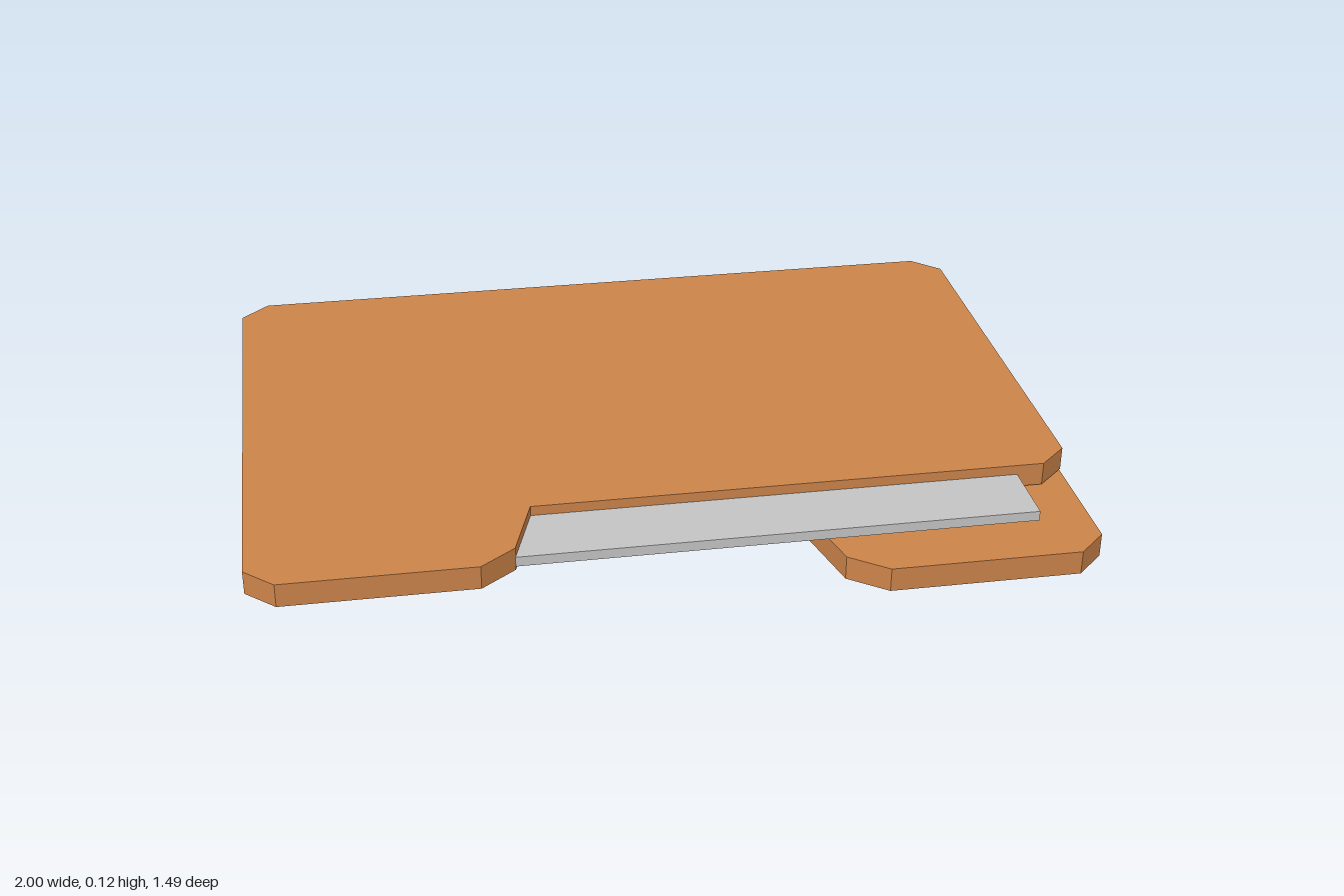
import * as THREE from 'three';

const orange = new THREE.MeshStandardMaterial({ color: 0xcb8349, flatShading: true });
orange.name = 'folder orange';
const grey = new THREE.MeshStandardMaterial({ color: 0xc3c3c3, flatShading: true });
grey.name = 'paper grey';

// Flat plate from an outline of [x, z] points, between heights y0 and y1
function plate(name, points, y0, y1, material) {
  const shape = new THREE.Shape(points.map(([x, z]) => new THREE.Vector2(x, -z)));
  const geometry = new THREE.ExtrudeGeometry(shape, { depth: y1 - y0, bevelEnabled: false });
  geometry.rotateX(-Math.PI / 2);
  geometry.translate(0, y0, 0);
  const mesh = new THREE.Mesh(geometry, material);
  mesh.name = name;
  return mesh;
}

// Chamfered back edge shared by both covers
const back = [[-1, -0.68], [-0.93, -0.747], [0.93, -0.747], [1, -0.68]];

export function createModel() {
  const group = new THREE.Group();
  group.name = 'folder';

  // Lower cover with its tab on the left (+x)
  group.add(plate('lowerCover', [
    ...back,
    [1, 0.68], [0.93, 0.747], [0.47, 0.747], [0.38, 0.68], [0.32, 0.445],
    [-0.93, 0.445], [-1, 0.38],
  ], 0, 0.06, orange));

  // Upper cover with its tab on the right (-x)
  group.add(plate('upperCover', [
    ...back,
    [1, 0.38], [0.93, 0.445], [-0.33, 0.445], [-0.385, 0.62], [-0.47, 0.685],
    [-0.93, 0.685], [-1, 0.62],
  ], 0.066, 0.125, orange));

  // Thin core joining the covers
  group.add(plate('innerCore', [
    [-0.95, -0.55], [0.86, -0.55], [0.86, 0.24], [-0.95, 0.24],
  ], 0.059, 0.067, orange));

  // Paper sheet sticking out of the front
  group.add(plate('paper', [
    [-0.6, 0.2], [0.865, 0.2], [0.865, 0.62], [-0.6, 0.62],
  ], 0.075, 0.1, grey));

  return group;
}
